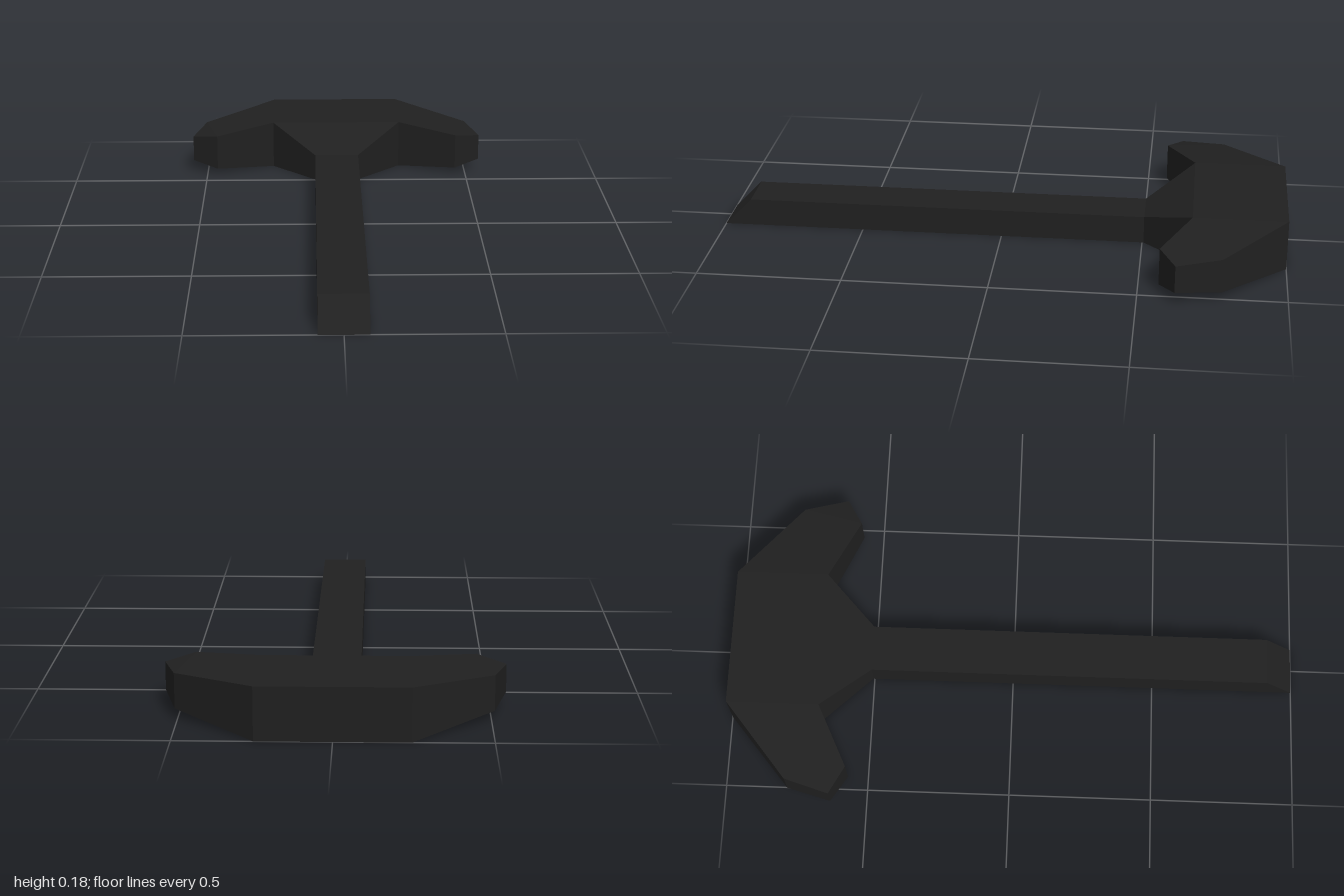
import * as THREE from 'three';

// Skins four-cornered cross-sections into a flat-faced solid.
// Corners run counter-clockwise seen from the end of the path.
function loft(rings, capEnd = false) {
  const positions = [];
  const tri = (a, b, c) => {
    if (new THREE.Triangle(a, b, c).getArea() < 1e-7) return; // pointed ends
    for (const p of [a, b, c]) positions.push(p.x, p.y, p.z);
  };
  const quad = (a, b, c, d) => { tri(a, b, c); tri(a, c, d); };
  for (let r = 0; r < rings.length - 1; r++) {
    for (let i = 0; i < 4; i++) {
      const j = (i + 1) % 4;
      quad(rings[r][i], rings[r][j], rings[r + 1][j], rings[r + 1][i]);
    }
  }
  if (capEnd) quad(...rings[rings.length - 1]);
  const geometry = new THREE.BufferGeometry();
  geometry.setAttribute('position', new THREE.Float32BufferAttribute(positions, 3));
  geometry.computeVertexNormals();
  return geometry;
}

const v = (x, y, z) => new THREE.Vector3(x, y, z);

// Head section: back and front edges, each with x, z, bottom and top heights
function headRing(side, back, front) {
  const [bx, bz, b0, b1] = back;
  const [fx, fz, f0, f1] = front;
  return [v(side * bx, b0, bz), v(side * bx, b1, bz), v(side * fx, f1, fz), v(side * fx, f0, fz)];
}

// Upright section across the handle; the top edge may sit further back
function handleRing(halfWidth, height, zBottom, zTop = zBottom) {
  return [v(-halfWidth, 0, zBottom), v(halfWidth, 0, zBottom),
    v(halfWidth, height, zTop), v(-halfWidth, height, zTop)];
}

export function createModel() {
  const group = new THREE.Group();
  const black = new THREE.MeshStandardMaterial({ color: 0x202020 });
  black.name = 'black';

  const add = (name, geometry) => {
    const mesh = new THREE.Mesh(geometry, black);
    mesh.name = name;
    group.add(mesh);
  };

  // Swept crosspiece, from its middle block out to the pointed tip
  const tip = [0.555, -0.625, 0.042, 0.138];
  const sections = [
    [[0.245, -1, 0, 0.178], [0.245, -0.675, 0, 0.178]],
    [[0.51, -0.78, 0.03, 0.149], [0.46, -0.57, 0.024, 0.155]],
    [tip, tip],
  ];
  const leftRings = sections.map(([back, front]) => headRing(1, back, front));
  const rightRings = sections.map(([back, front]) => headRing(-1, back, front)).reverse();
  add('head', loft([...rightRings, ...leftRings]));

  // Tapered neck between head and shaft
  add('neck', loft([handleRing(0.245, 0.178, -0.675), handleRing(0.082, 0.098, -0.505)]));

  // Long shaft with a bevelled end
  add('shaft', loft([handleRing(0.082, 0.098, -0.505), handleRing(0.082, 0.098, 1, 0.905)], true));

  return group;
}
